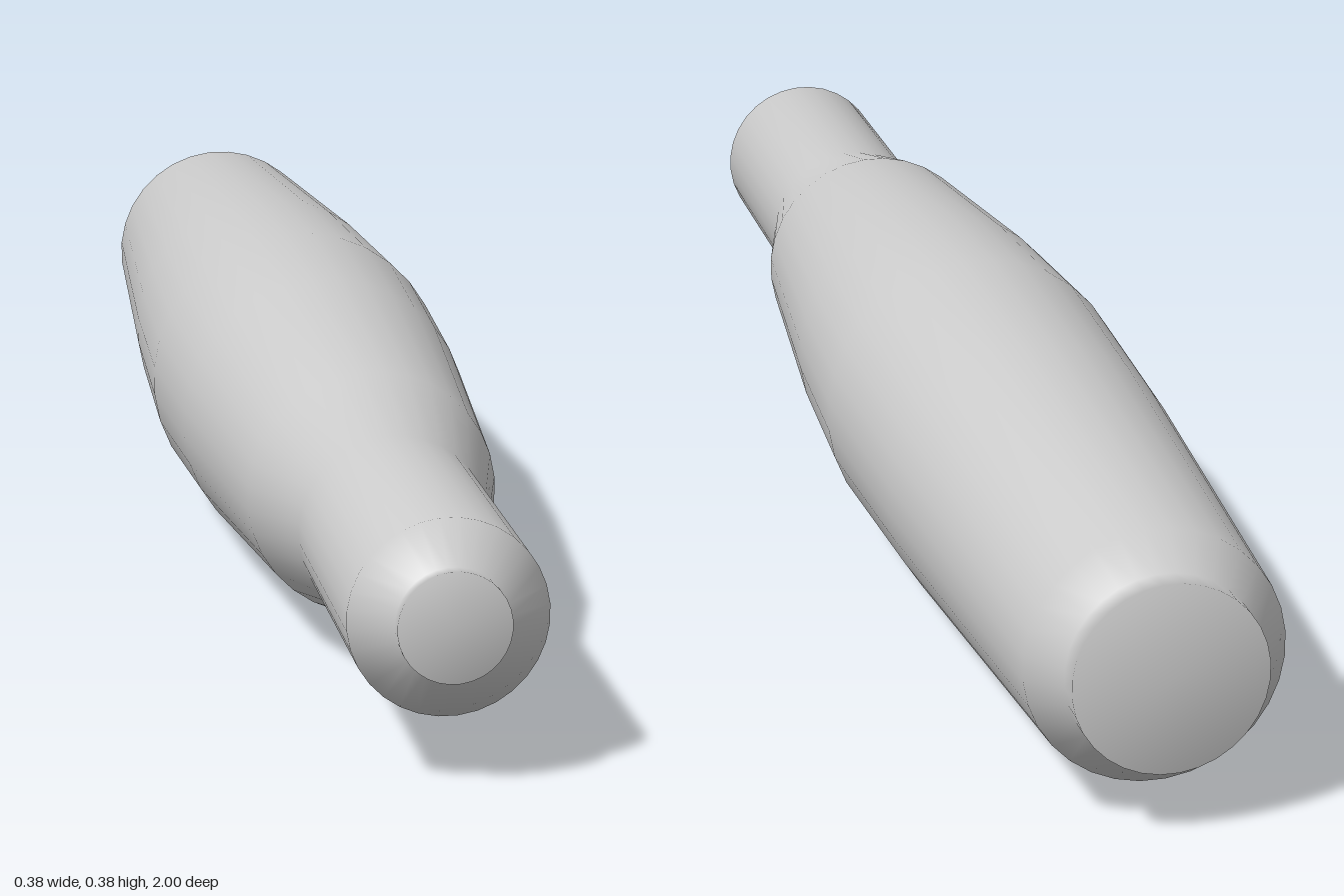
import * as THREE from 'three';

const SIDES = 32;
const RADIUS = 0.19;

// Outline of the turned body as [radius, z], from the back end to the front tip
const PROFILE = [
  [0, -1], [0.11, -1], [0.11, -0.97], [0.147, -0.935],
  [0.179, -0.42], [RADIUS, -0.13], [0.179, 0.1], [0.147, 0.46],
  [0.11, 0.615], [0.11, 0.96], [0.062, 0.983], [0.062, 1], [0, 1],
];

export function createModel() {
  const group = new THREE.Group();
  group.name = 'turnedHandle';

  // Swelling grip, narrow neck and both stepped ends in one smooth lathe
  const points = PROFILE.map(([r, z]) => new THREE.Vector2(r, z));
  const geometry = new THREE.LatheGeometry(points, SIDES, Math.PI / SIDES);
  geometry.rotateX(Math.PI / 2);

  const handle = new THREE.Mesh(geometry, new THREE.MeshStandardMaterial({ color: 0xcccccc }));
  handle.name = 'handleBody';
  handle.position.y = RADIUS;
  group.add(handle);
  return group;
}
